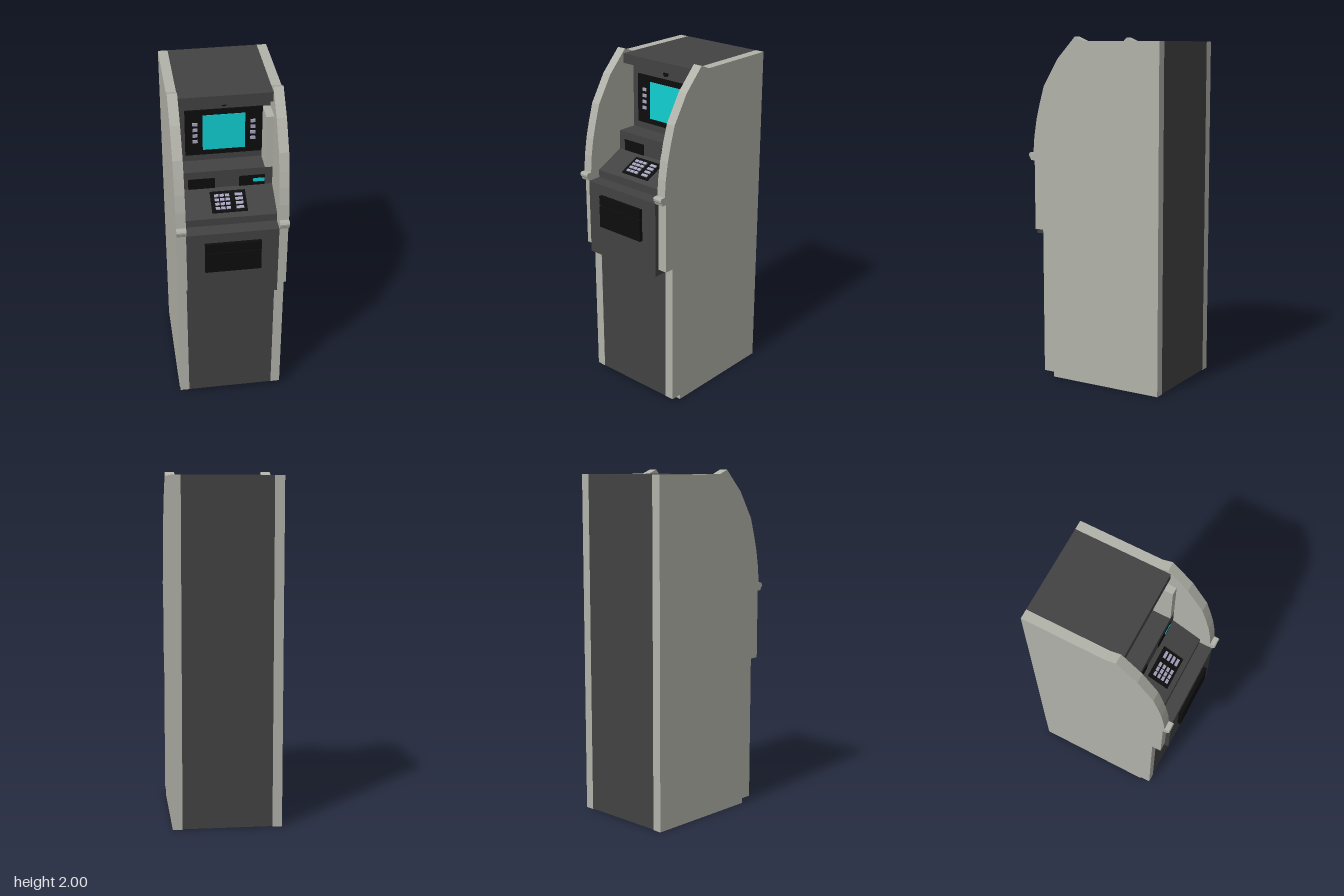
import * as THREE from 'three';

const mat = (name, color) => {
  const m = new THREE.MeshStandardMaterial({ color });
  m.name = name;
  return m;
};

export function createModel() {
  const root = new THREE.Group();
  root.name = 'cashMachine';
  const grey = mat('panelGrey', 0xb1b2a9);
  const dark = mat('charcoal', 0x424242);
  const black = mat('black', 0x0d0d0d);
  const cyan = mat('cyan', 0x10cfd2);
  const keyColor = mat('keyLavender', 0xa5a3bd);

  const add = (name, geo, material, parent = root) => {
    const mesh = new THREE.Mesh(geo, material);
    mesh.name = name;
    parent.add(mesh);
    return mesh;
  };
  // Box given by its lower and upper limits
  const box = (name, material, [x0, x1], [y0, y1], [z0, z1], parent) => {
    const geo = new THREE.BoxGeometry(x1 - x0, y1 - y0, z1 - z0);
    geo.translate((x0 + x1) / 2, (y0 + y1) / 2, (z0 + z1) / 2);
    return add(name, geo, material, parent);
  };
  // Side profile of [z, y] points, extruded from x0 to x1
  const profile = (name, material, points, x0, x1) => {
    const shape = new THREE.Shape(points.map(([z, y]) => new THREE.Vector2(z, y)));
    const geo = new THREE.ExtrudeGeometry(shape, { depth: x1 - x0, bevelEnabled: false });
    geo.rotateY(-Math.PI / 2);
    geo.translate(x1, 0, 0);
    return add(name, geo, material);
  };

  // Side panels with curved hood and bumper lips
  const sidePoints = [
    [-0.435, 0], [0.27, 0], [0.27, 0.03], [0.335, 0.03], [0.335, 0.885], [0.39, 0.885],
    [0.39, 1.29], [0.398, 1.335], [0.39, 1.43], [0.373, 1.53], [0.35, 1.62], [0.32, 1.72],
    [0.225, 1.875], [0.105, 2], [0.045, 1.975], [-0.435, 1.975],
  ];
  const lipPoints = [
    [0.38, 1.29], [0.416, 1.29], [0.421, 1.305], [0.428, 1.312], [0.43, 1.325],
    [0.425, 1.335], [0.38, 1.335],
  ];
  for (const [side, x0, x1] of [['right', -0.311, -0.256], ['left', 0.256, 0.311]]) {
    profile(side + 'SidePanel', grey, sidePoints, x0, x1);
    profile(side + 'BumperLip', grey, lipPoints, x0, x1);
  }

  // Central cabinet: plinth, front, shelf, screen recess and canopy
  profile('cabinet', dark, [
    [-0.435, 0.003], [0.27, 0.003], [0.27, 0.03], [0.334, 0.03], [0.334, 0.85], [0.415, 0.85],
    [0.415, 1.29], [0.335, 1.29], [0.335, 1.335], [0.16, 1.42], [0.16, 1.53],
    [0.04, 1.53], [0.04, 1.91], [0.12, 1.92], [0.12, 1.975], [-0.435, 1.975],
  ], -0.256, 0.256);
  box('recessFiller', grey, [0.213, 0.256], [1.53, 1.85], [0.04, 0.16]);

  // Screen with key columns and camera
  box('screenBezel', black, [-0.215, 0.213], [1.57, 1.853], [0.04, 0.047]);
  box('screen', cyan, [-0.118, 0.117], [1.602, 1.82], [0.047, 0.05]);
  for (const x of [-0.16, 0.16]) {
    for (let i = 0; i < 4; i++) {
      const y = 1.768 - i * 0.036;
      box('screenKey', keyColor, [x - 0.014, x + 0.014], [y - 0.009, y + 0.009], [0.047, 0.054]);
    }
  }
  const camera = new THREE.CylinderGeometry(0.017, 0.017, 0.01, 16);
  camera.rotateX(Math.PI / 2);
  camera.translate(0, 1.886, 0.044);
  add('lens', camera, black);

  // Receipt and card slots
  box('receiptSlot', black, [-0.215, -0.065], [1.42, 1.485], [0.157, 0.163]);
  box('cardSlot', black, [0.07, 0.213], [1.42, 1.485], [0.157, 0.163]);
  box('cardLight', cyan, [0.155, 0.211], [1.443, 1.465], [0.163, 0.165]);
  const lightEnd = new THREE.CylinderGeometry(0.011, 0.011, 0.002, 12);
  lightEnd.rotateX(Math.PI / 2);
  lightEnd.translate(0.156, 1.454, 0.164);
  add('cardLightEnd', lightEnd, cyan);

  // Keypad lying on the sloping shelf
  const keypad = new THREE.Group();
  keypad.name = 'keypad';
  keypad.position.set(0, 1.3785, 0.2455);
  keypad.rotation.x = Math.atan2(0.085, 0.175);
  root.add(keypad);
  box('keypadPlate', black, [-0.1, 0.098], [-0.002, 0.005], [-0.067, 0.067], keypad);
  for (let row = 0; row < 4; row++) {
    const z = -0.038 + row * 0.0268;
    for (const [x, w] of [[-0.066, 0.024], [-0.036, 0.024], [-0.006, 0.024], [0.058, 0.042]]) {
      box('keypadKey', keyColor, [x - w / 2, x + w / 2], [0.005, 0.011], [z - 0.008, z + 0.008], keypad);
    }
  }

  // Cash dispenser with a lit slot between two shutters
  box('dispenserBase', black, [-0.157, 0.157], [1.04, 1.23], [0.41, 0.419]);
  box('dispenserLower', black, [-0.157, 0.157], [1.04, 1.167], [0.419, 0.435]);
  box('dispenserUpper', black, [-0.157, 0.157], [1.175, 1.23], [0.419, 0.435]);
  box('dispenserLight', cyan, [-0.144, 0.144], [1.167, 1.175], [0.419, 0.421]);

  return root;
}
